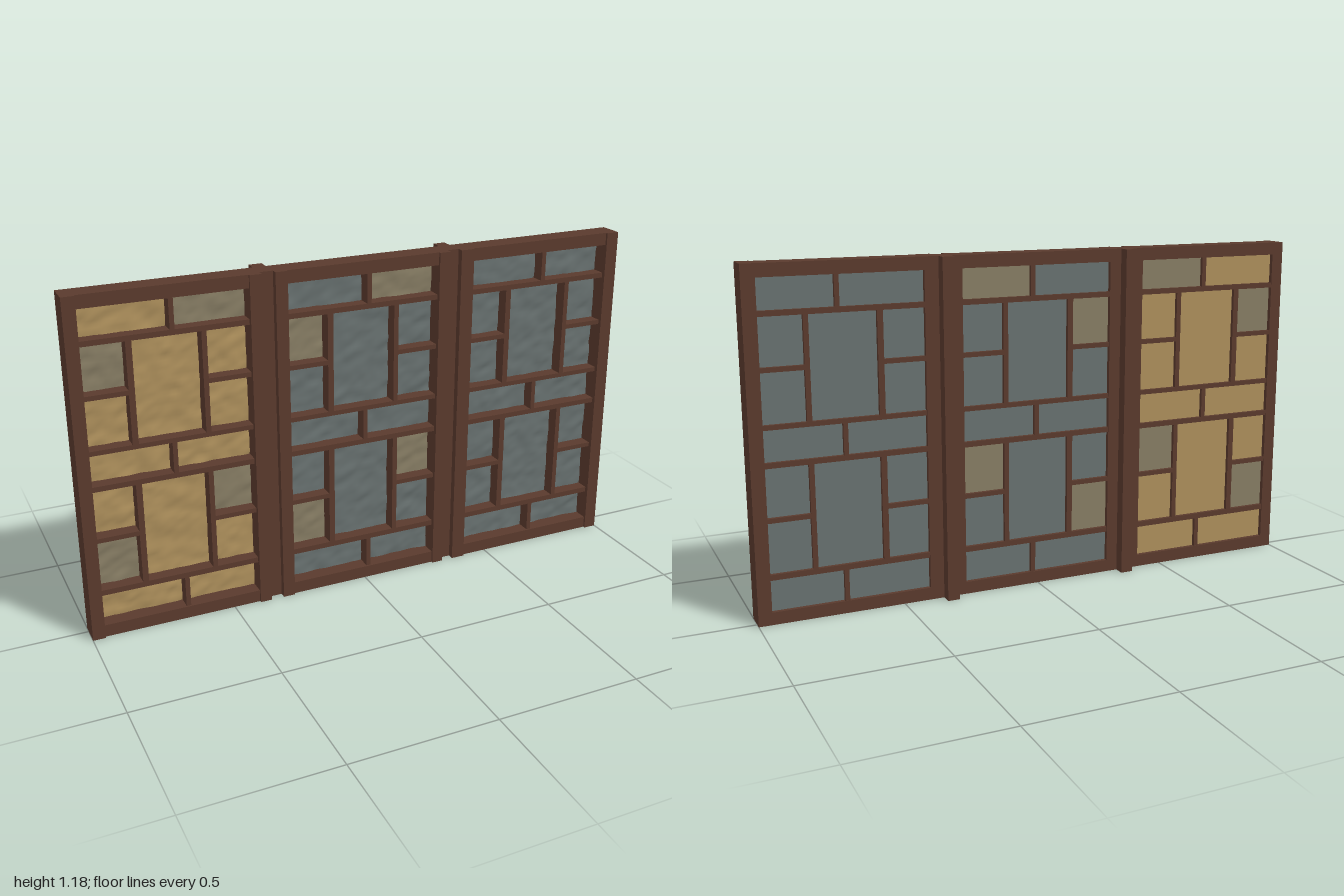
import * as THREE from 'three';

const mat = (name, color) => {
  const m = new THREE.MeshStandardMaterial({ color });
  m.name = name;
  return m;
};

// Smooth seeded value noise for the hammered glass
const hash = (i, j) => {
  const s = Math.sin(i * 127.1 + j * 311.7) * 43758.5453;
  return s - Math.floor(s);
};
function noise(x, y) {
  const i = Math.floor(x), j = Math.floor(y);
  const ease = (t) => t * t * (3 - 2 * t);
  const u = ease(x - i), v = ease(y - j);
  const lerp = THREE.MathUtils.lerp;
  return lerp(lerp(hash(i, j), hash(i + 1, j), u), lerp(hash(i, j + 1), hash(i + 1, j + 1), u), v);
}

export function createModel() {
  const model = new THREE.Group();
  model.name = 'leadedWindow';
  const wood = mat('darkWood', 0x5a3a2d);
  const glass = {
    g: mat('amberGlass', 0xae905c),
    t: mat('taupeGlass', 0x877d64),
    s: mat('slateGlass', 0x687170),
  };
  const HEIGHT = 1.18, BACK = -0.024;

  // Wooden box given by its limits
  function beam(parent, name, x0, x1, y0, y1, z0, z1) {
    const m = new THREE.Mesh(new THREE.BoxGeometry(x1 - x0, y1 - y0, z1 - z0), wood);
    m.position.set((x0 + x1) / 2, (y0 + y1) / 2, (z0 + z1) / 2);
    m.name = name;
    parent.add(m);
  }

  // Pane with a flat back and a rippled front
  function pane(parent, key, x0, x1, y0, y1) {
    const w = x1 - x0, h = y1 - y0, cx = (x0 + x1) / 2, cy = (y0 + y1) / 2;
    const geo = new THREE.BoxGeometry(w, h, 0.008, Math.ceil(w / 0.012), Math.ceil(h / 0.012), 1);
    const p = geo.attributes.position;
    for (let i = 0; i < p.count; i++) {
      if (p.getZ(i) < 0) continue;
      const x = p.getX(i) + cx, y = p.getY(i) + cy;
      const a = x * 0.9 + y * 0.45, b = y * 0.9 - x * 0.45;
      p.setZ(i, 0.002 + 0.007 * noise(a * 22, b * 36) + 0.003 * noise(a * 50 + 9, b * 60));
    }
    geo.computeVertexNormals();
    const m = new THREE.Mesh(geo, glass[key]);
    m.position.set(cx, cy, -0.005);
    m.name = 'glassPane';
    parent.add(m);
  }

  // Row limits, bottom to top, shared by all three panels
  const rows = {
    bottom: [0.043, 0.152], lower: [0.171, 0.527], middle: [0.545, 0.652],
    upper: [0.668, 1.014], top: [1.032, 1.136],
  };

  // keys: top 2, upper 5, middle 2, lower 5, bottom 2
  function panel(name, x0, x1, in0, in1, keys) {
    const g = new THREE.Group();
    g.name = name;
    let k = 0;
    const w = in1 - in0;
    const bar = (n, a, b, c, d) => beam(g, n, a, b, c, d, BACK + 0.002, 0.049);

    // Outer frame
    beam(g, 'leftStile', x0, in0, 0, HEIGHT, BACK, 0.063);
    beam(g, 'rightStile', in1, x1, 0, HEIGHT, BACK, 0.063);
    beam(g, 'topRail', in0, in1, rows.top[1], HEIGHT, BACK, 0.055);
    beam(g, 'bottomRail', in0, in1, 0, rows.bottom[0], BACK, 0.055);

    // Full-width glazing bars between the rows
    const order = Object.values(rows);
    for (let i = 0; i < 4; i++) bar('crossBar', in0, in1, order[i][1], order[i + 1][0]);

    // Row of two panes
    const pair = ([y0, y1], split) => {
      const a = in0 + w * split - 0.008, b = a + 0.016;
      bar('shortBar', a, b, y0, y1);
      pane(g, keys[k++], in0, a, y0, y1);
      pane(g, keys[k++], b, in1, y0, y1);
    };
    // Tall central pane flanked by stacked small panes
    const block = ([y0, y1], mid) => {
      const a = in0 + 0.143, b = in0 + 0.163, c = in0 + 0.388, d = in0 + 0.405;
      bar('uprightBar', a, b, y0, y1);
      bar('uprightBar', c, d, y0, y1);
      for (const [s, e] of [[in0, a], [d, in1]]) {
        bar('sideBar', s, e, mid - 0.008, mid + 0.008);
        pane(g, keys[k++], s, e, mid + 0.008, y1);
        pane(g, keys[k++], s, e, y0, mid - 0.008);
      }
      pane(g, keys[k++], b, c, y0, y1);
    };
    pair(rows.top, 0.535);
    block(rows.upper, 0.845);
    pair(rows.middle, 0.51);
    block(rows.lower, 0.353);
    pair(rows.bottom, 0.535);
    model.add(g);
  }

  panel('rightPanel', -1, -0.365, -0.957, -0.407, 'gttgggggggttgggg'.replace(' ', ''));
  panel('middlePanel', -0.32, 0.315, -0.278, 0.274, 'sttsssssssttssss');
  panel('leftPanel', 0.357, 1, 0.406, 0.954, 'ssssssssssssssss');

  // Posts joining the panels, standing out at the back
  beam(model, 'post', -0.365, -0.32, 0, HEIGHT, -0.063, 0.04);
  beam(model, 'post', 0.315, 0.357, 0, HEIGHT, -0.063, 0.04);
  return model;
}
